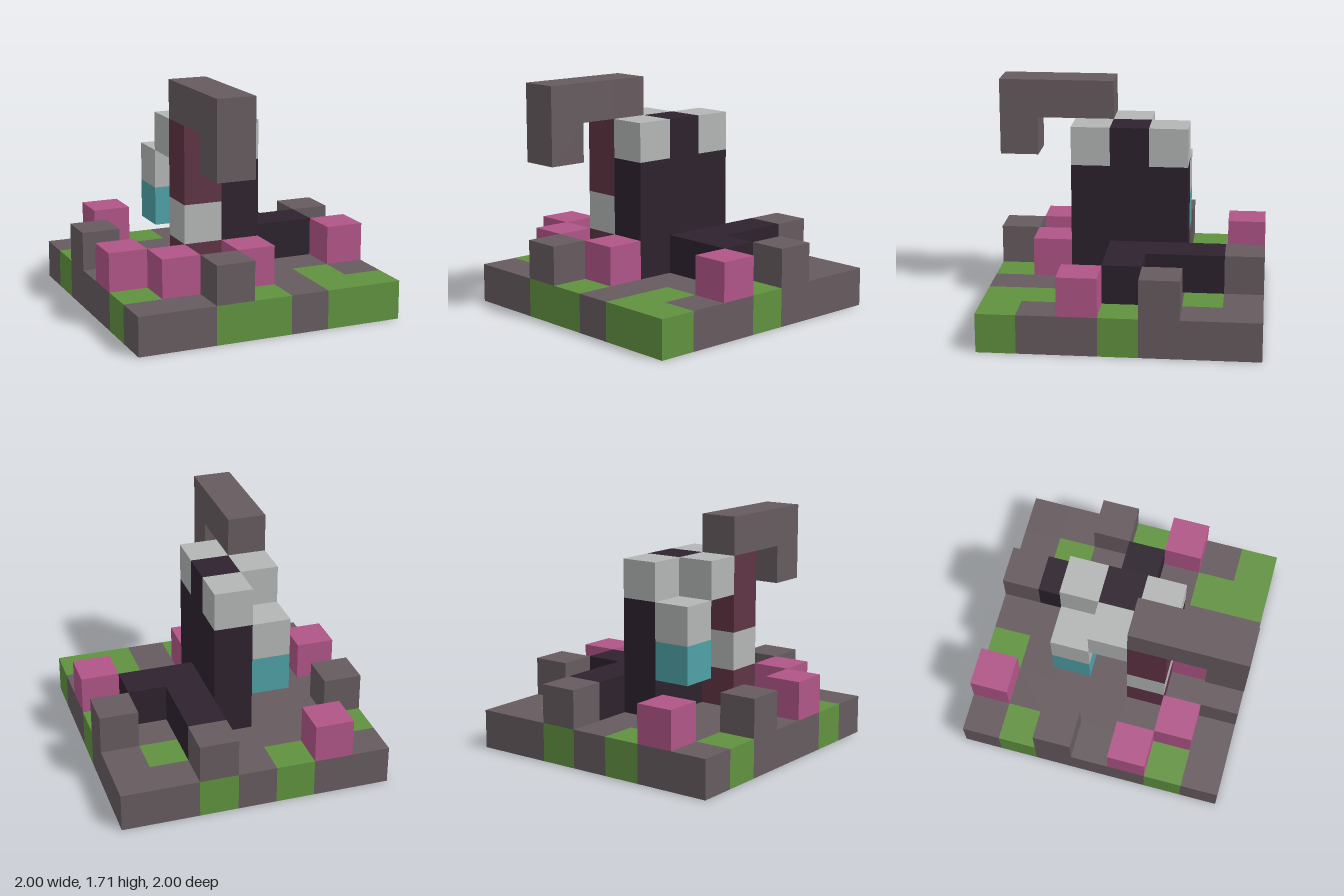
import * as THREE from 'three';
import { mergeGeometries } from 'three/addons/utils/BufferGeometryUtils.js';

const N = 7;          // cells along each side of the base
const S = 2 / N;      // cell size

function material(name, color) {
  const m = new THREE.MeshStandardMaterial({ color });
  m.name = name;
  return m;
}

export function createModel() {
  const stone = material('stone grey', 0x665b5f);
  const grass = material('grass green', 0x619240);
  const pink = material('blossom pink', 0xb05587);
  const dark = material('dark purple', 0x2d222e);
  const pale = material('pale grey', 0xb3b6b5);
  const maroon = material('maroon', 0x5f3344);
  const teal = material('teal', 0x4fa0a6);
  const brown = material('earth brown', 0x73502f);

  // Each part: name, material, blocks as [column, level, row] or
  // [column, level, row, last column, last level, last row]
  const parts = [
    ['grassPatches', grass, [
      [2, 0, 0], [4, 0, 0], [0, 0, 1], [5, 0, 1], [6, 0, 3], [0, 0, 5],
      [5, 0, 5], [2, 0, 6, 3, 0, 6], [5, 0, 6, 6, 0, 6]]],
    ['earthCore', brown, [[3, 0, 3]]],
    ['blossomBlocks', pink, [[1, 1, 0], [0, 1, 4], [6, 1, 4], [1, 1, 5], [3, 1, 5]]],
    ['rocks', stone, [[4, 1, 0], [0, 1, 2], [6, 1, 2], [2, 1, 6]]],
    ['trunk', dark, [[3, 1, 2, 3, 3, 4], [3, 4, 3]]],
    ['roots', dark, [[4, 1, 1, 4, 1, 3], [5, 1, 3]]],
    ['trunkCaps', pale, [[3, 4, 2], [3, 4, 4], [2, 4, 3]]],
    ['lanternTop', pale, [[2, 3, 2]]],
    ['lanternGlow', teal, [[2, 2, 2]]],
    ['postFoot', maroon, [[2, 1, 4]]],
    ['postBand', pale, [[2, 2, 4]]],
    ['postShaft', maroon, [[2, 3, 4, 2, 4, 4]]],
    ['hookArm', stone, [[2, 5, 4, 2, 5, 6], [2, 4, 6]]],
  ];

  // Expand the blocks to single cells and note which cells are filled
  const filled = new Set();
  const key = (x, y, z) => `${x},${y},${z}`;
  const expand = (blocks) => {
    const cells = [];
    for (const [x0, y0, z0, x1 = x0, y1 = y0, z1 = z0] of blocks)
      for (let x = x0; x <= x1; x++)
        for (let y = y0; y <= y1; y++)
          for (let z = z0; z <= z1; z++) {
            cells.push([x, y, z]);
            filled.add(key(x, y, z));
          }
    return cells;
  };
  const built = parts.map(([name, mat, blocks]) => [name, mat, expand(blocks)]);

  // Stone slab fills the rest of the ground level
  const slab = [];
  for (let x = 0; x < N; x++)
    for (let z = 0; z < N; z++)
      if (!filled.has(key(x, 0, z))) slab.push([x, 0, z]);
  built.unshift(['baseSlab', stone, expand(slab)]);

  // Six outward faces of a cell, with the direction of the neighbour
  const face = (dir, rx, ry) => ({
    dir,
    geometry: new THREE.PlaneGeometry(S, S).translate(0, 0, S / 2).rotateX(rx).rotateY(ry),
  });
  const q = Math.PI / 2;
  const faces = [
    face([0, 0, 1], 0, 0), face([1, 0, 0], 0, q),
    face([0, 0, -1], 0, 2 * q), face([-1, 0, 0], 0, -q),
    face([0, 1, 0], -q, 0), face([0, -1, 0], q, 0),
  ];

  const model = new THREE.Group();
  model.name = 'blockGarden';
  for (const [name, mat, cells] of built) {
    const pieces = [];
    for (const [x, y, z] of cells)
      for (const { dir, geometry } of faces) {
        if (filled.has(key(x + dir[0], y + dir[1], z + dir[2]))) continue;
        pieces.push(geometry.clone().translate((x - 3) * S, (y + 0.5) * S, (z - 3) * S));
      }
    if (!pieces.length) continue;
    const mesh = new THREE.Mesh(mergeGeometries(pieces), mat);
    mesh.name = name;
    model.add(mesh);
  }
  return model;
}
